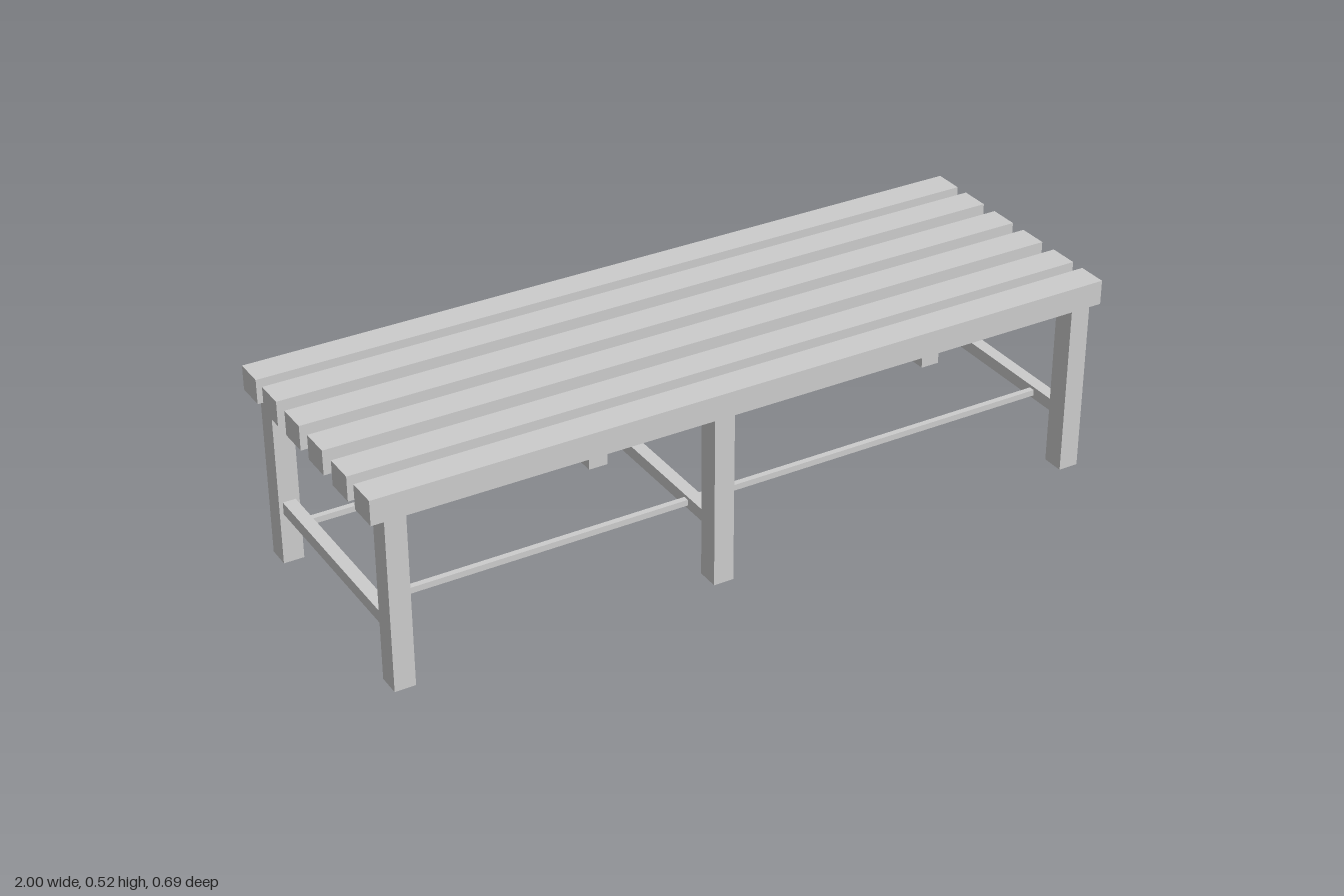
import * as THREE from 'three';

const material = new THREE.MeshStandardMaterial({ color: 0xcccccc, flatShading: true });

// Box given by its [min, max] range on each axis
function addBar(parent, name, [x0, x1], [y0, y1], [z0, z1]) {
  const mesh = new THREE.Mesh(new THREE.BoxGeometry(x1 - x0, y1 - y0, z1 - z0), material);
  mesh.position.set((x0 + x1) / 2, (y0 + y1) / 2, (z0 + z1) / 2);
  mesh.name = name;
  parent.add(mesh);
}

const around = (centre, size) => [centre - size / 2, centre + size / 2];

export function createModel() {
  const bench = new THREE.Group();
  bench.name = 'slattedBench';

  // Six seat slats running the full length
  const slats = new THREE.Group();
  slats.name = 'seatSlats';
  for (const z of [0.308, 0.191, 0.063, -0.062, -0.189, -0.306]) {
    addBar(slats, 'slat', [-1, 1], [0.457, 0.522], around(z, 0.08));
  }
  bench.add(slats);

  // Solid panel the slats are set into
  addBar(bench, 'seatPanel', [-0.953, 0.941], [0.453, 0.487], [-0.267, 0.288]);

  // Three leg frames: a front leg, a back leg and a cross stretcher
  for (const x of [-0.941, -0.094, 0.939]) {
    const frame = new THREE.Group();
    frame.name = 'legFrame';
    addBar(frame, 'frontLeg', around(x, 0.054), [0, 0.457], [0.288, 0.348]);
    addBar(frame, 'backLeg', around(x, 0.054), [0, 0.457], [-0.328, -0.267]);
    addBar(frame, 'crossStretcher', around(x, 0.034), [0.138, 0.171], [-0.267, 0.288]);
    bench.add(frame);
  }

  // Thin long rails joining the stretchers
  for (const z of [0.2, -0.185]) {
    addBar(bench, 'longRail', [-0.945, 0.945], [0.147, 0.163], around(z, 0.016));
  }

  return bench;
}
